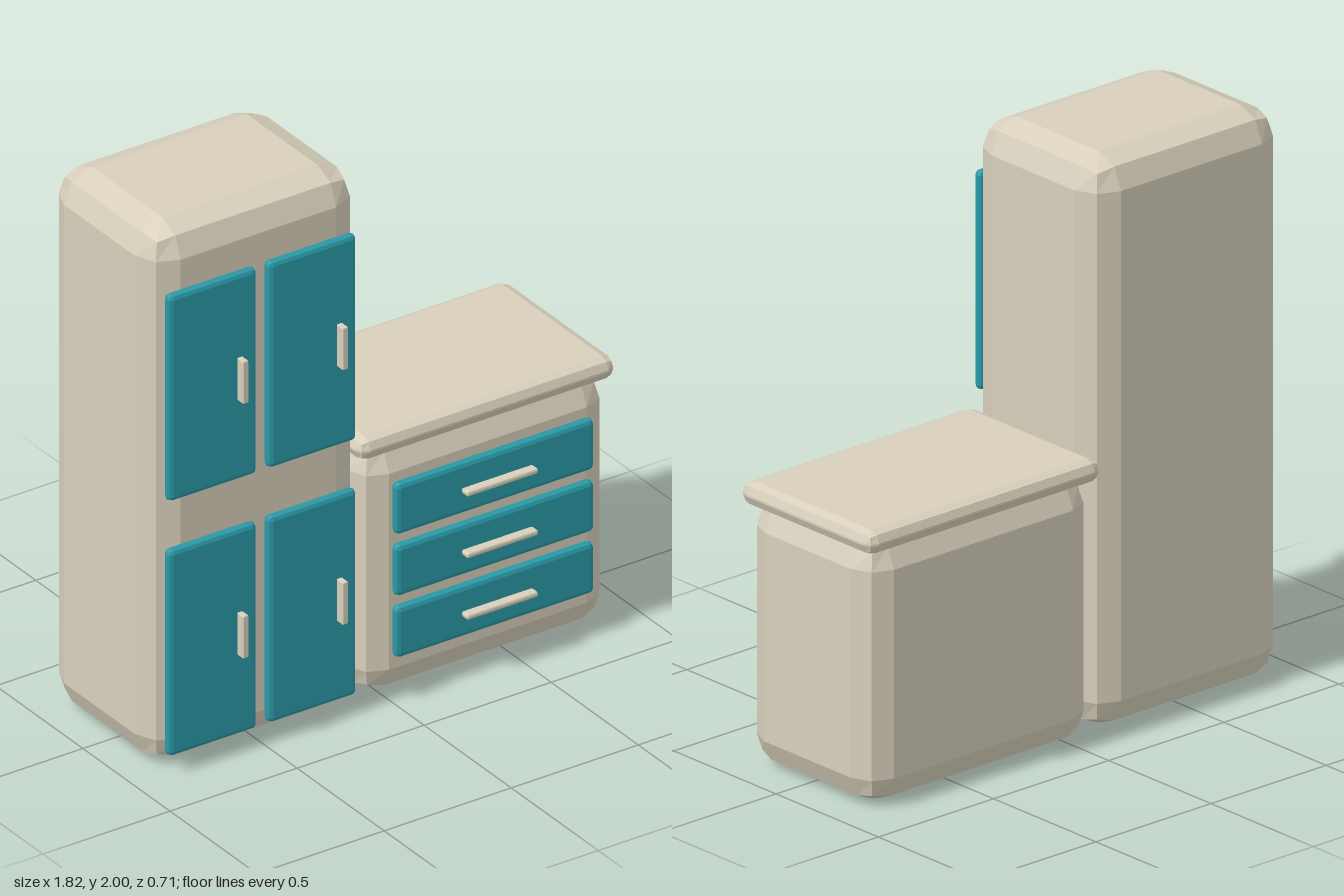
import * as THREE from 'three';
import { RoundedBoxGeometry } from 'three/addons/geometries/RoundedBoxGeometry.js';

const cream = new THREE.MeshStandardMaterial({ color: 0xd8d0bc, flatShading: true });
const teal = new THREE.MeshStandardMaterial({ color: 0x2a9aa8, flatShading: true });

// Bevelled box given by its [min, max] extent on each axis
function block(name, material, [x0, x1], [y0, y1], [z0, z1], bevel) {
  const geometry = new RoundedBoxGeometry(x1 - x0, y1 - y0, z1 - z0, 1, bevel);
  const mesh = new THREE.Mesh(geometry, material);
  mesh.name = name;
  mesh.position.set((x0 + x1) / 2, (y0 + y1) / 2, (z0 + z1) / 2);
  return mesh;
}

const BODY_Z = [-0.34, 0.28];
const PANEL_Z = [0.277, 0.314];
const HANDLE_Z = [0.319, 0.356];

export function createModel() {
  const model = new THREE.Group();
  model.name = 'kitchenCabinets';

  // Tall cupboard with two pairs of doors
  const cupboard = new THREE.Group();
  cupboard.name = 'tallCupboard';
  cupboard.add(block('cupboardBody', cream, [-0.915, -0.087], [0, 2], BODY_Z, 0.108));
  for (const y of [0.07, 1.02]) {
    for (const x of [-0.875, -0.483]) {
      cupboard.add(block('door', teal, [x, x + 0.348], [y, y + 0.768], PANEL_Z, 0.017));
      cupboard.add(block('doorHandle', cream, [x + 0.262, x + 0.284], [y + 0.305, y + 0.463], HANDLE_Z, 0.004));
    }
  }
  model.add(cupboard);

  // Low unit with three drawers under a worktop
  const drawerUnit = new THREE.Group();
  drawerUnit.name = 'drawerUnit';
  drawerUnit.add(block('drawerBody', cream, [-0.087, 0.89], [0, 0.93], BODY_Z, 0.1));
  drawerUnit.add(block('worktop', cream, [-0.105, 0.907], [0.902, 0.985], [-0.356, 0.29], 0.038));
  for (const y of [0.245, 0.475, 0.705]) {
    drawerUnit.add(block('drawerFront', teal, [0.02, 0.8], [y - 0.095, y + 0.095], PANEL_Z, 0.017));
    drawerUnit.add(block('drawerHandle', cream, [0.27, 0.55], [y - 0.01, y + 0.01], HANDLE_Z, 0.007));
  }
  model.add(drawerUnit);

  return model;
}
